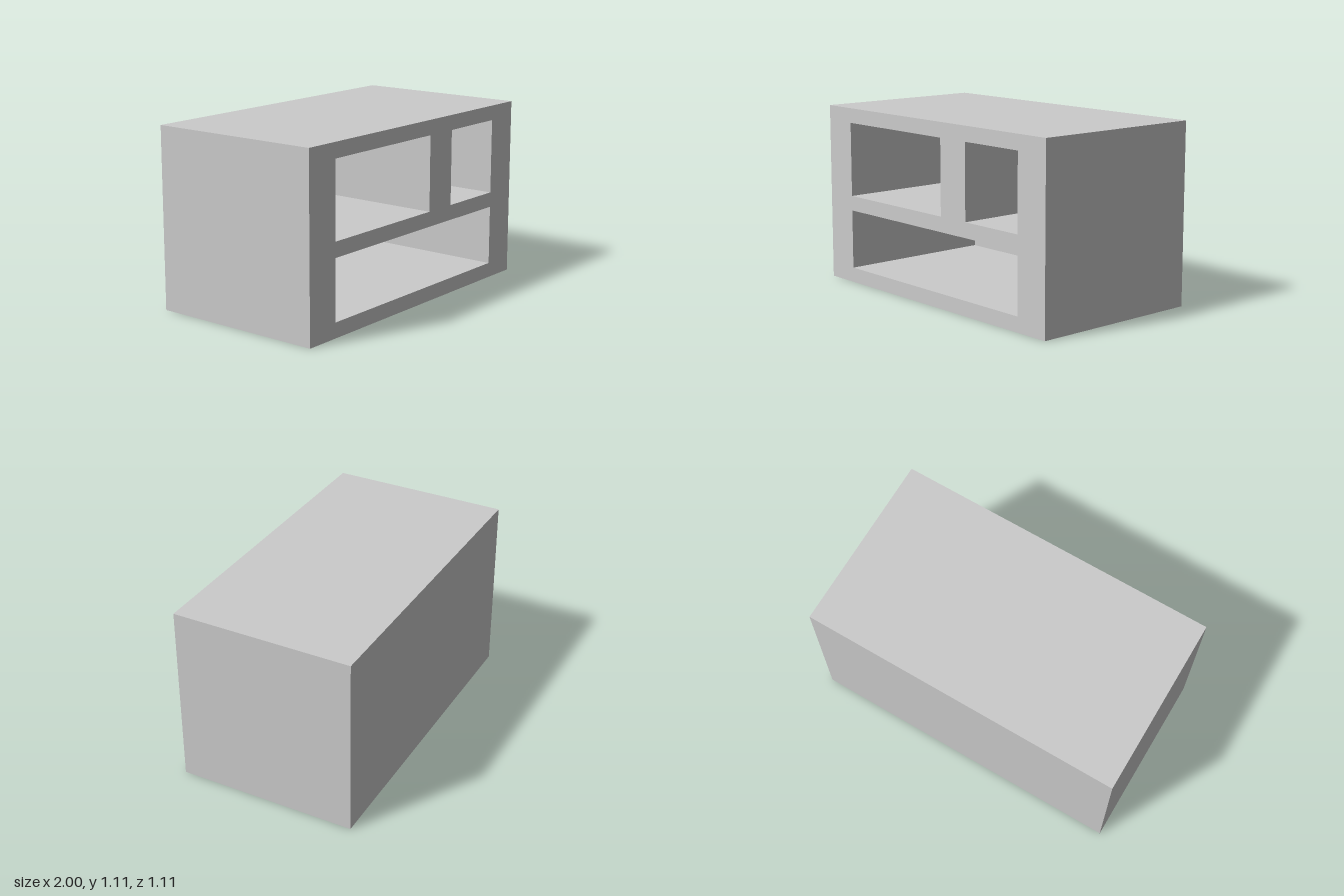
import * as THREE from 'three';

const W = 2, H = 1.111, D = 1.111, BACK = 0.1;

// Compartments: [x0, x1, y0, y1]
const compartments = {
  upperRightCompartment: [-0.778, 0.111, 0.556, 1.019],
  upperLeftCompartment: [0.333, 0.778, 0.556, 1.019],
  lowerCompartment: [-0.778, 0.778, 0.093, 0.463],
};

// Box without its front face; inward = true turns the faces to the inside
function openBox(w, h, d, inward) {
  const box = new THREE.BoxGeometry(w, h, d);
  const index = Array.from(box.index.array);
  index.splice(24, 6); // the +z face
  if (inward) index.reverse();
  box.setIndex(index);
  box.clearGroups();
  const geometry = box.toNonIndexed();
  geometry.computeVertexNormals();
  return geometry;
}

function rectangle(path, [x0, x1, y0, y1]) {
  return path.moveTo(x0, y0).lineTo(x1, y0).lineTo(x1, y1).lineTo(x0, y1).closePath();
}

export function createModel() {
  const group = new THREE.Group();
  group.name = 'shelfUnit';
  const material = new THREE.MeshStandardMaterial({ color: 0xcccccc, flatShading: true });
  const add = (name, geometry, x, y, z) => {
    const mesh = new THREE.Mesh(geometry, material);
    mesh.name = name;
    mesh.position.set(x, y, z);
    group.add(mesh);
  };

  // Outer casing: sides, top, bottom and back
  add('casing', openBox(W, H, D, false), 0, H / 2, 0);

  // Front frame with one opening per compartment
  const front = rectangle(new THREE.Shape(), [-W / 2, W / 2, 0, H]);
  for (const rect of Object.values(compartments)) front.holes.push(rectangle(new THREE.Path(), rect));
  add('frontFrame', new THREE.ShapeGeometry(front), 0, 0, D / 2);

  // Compartment linings, closed at the back
  for (const [name, [x0, x1, y0, y1]] of Object.entries(compartments)) {
    add(name, openBox(x1 - x0, y1 - y0, D - BACK, true), (x0 + x1) / 2, (y0 + y1) / 2, BACK / 2);
  }
  return group;
}
